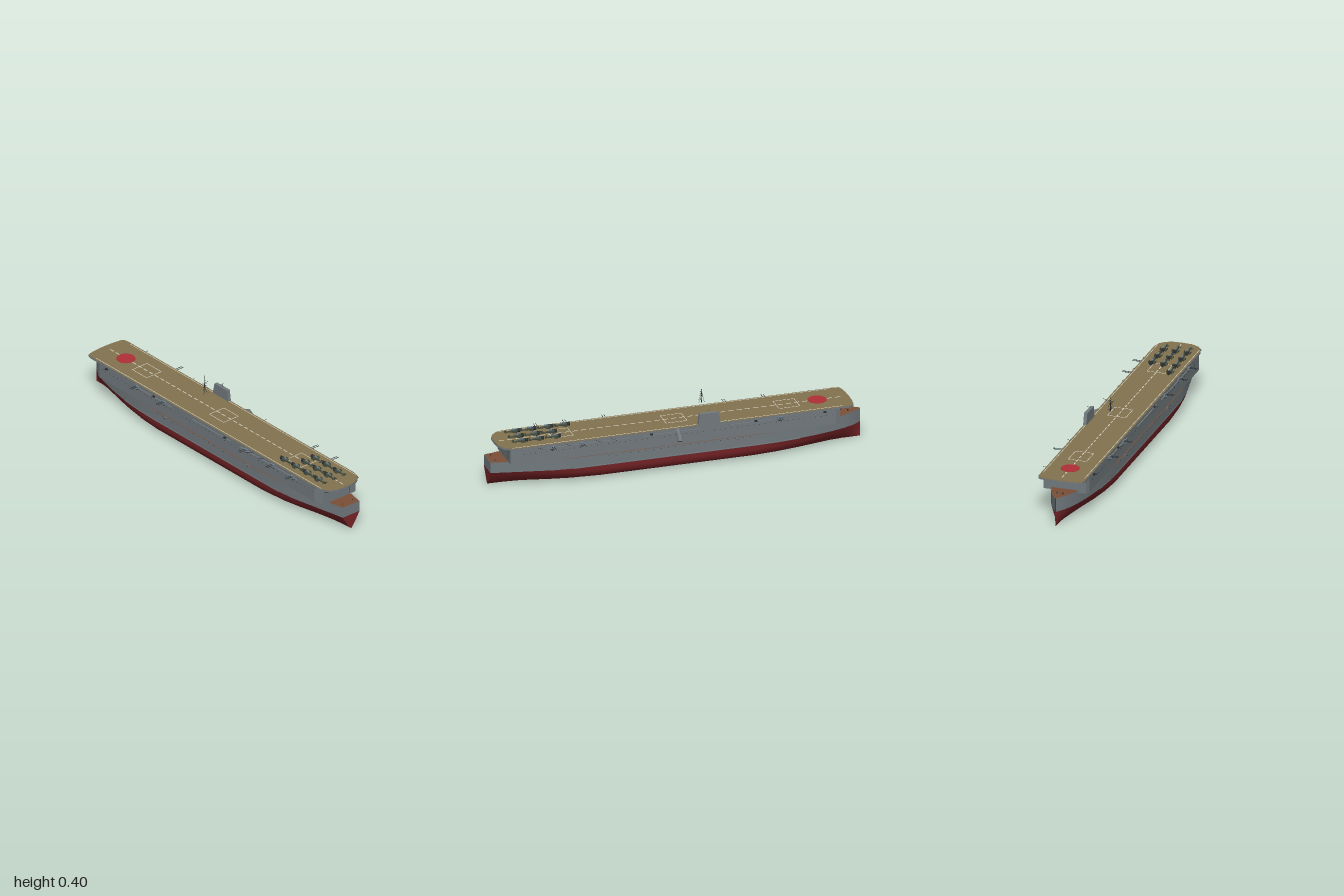
import * as THREE from 'three';
import { mergeGeometries, toCreasedNormals } from 'three/addons/utils/BufferGeometryUtils.js';

const paint = (name, color, side = THREE.FrontSide) => {
  const m = new THREE.MeshStandardMaterial({ color, side });
  m.name = name;
  return m;
};
const grey = paint('hull grey', 0x727a7e, THREE.DoubleSide);
const red = paint('bottom red', 0x7a2528, THREE.DoubleSide);
const tan = paint('flight deck tan', 0x83734f);
const brown = paint('weather deck brown', 0x7c5038, THREE.DoubleSide);
const dark = paint('dark metal', 0x2c3032);
const green = paint('aircraft green', 0x434d40);
const white = paint('marking white', 0xd9d6c8);
const crimson = paint('disc red', 0xb03036);
const steel = paint('gun blue grey', 0x718190);

// z, half beam, roundness of the section (0 = V, 1 = full bilge)
const stations = [
  [1, 0.056, 0], [0.95, 0.065, 0.08], [0.88, 0.08, 0.22], [0.78, 0.1, 0.45], [0.68, 0.12, 0.65], [0.58, 0.129, 0.82],
  [0.42, 0.13, 1], [0, 0.13, 1], [-0.4, 0.13, 1], [-0.52, 0.126, 0.9], [-0.64, 0.115, 0.72], [-0.74, 0.099, 0.52],
  [-0.83, 0.079, 0.33], [-0.9, 0.058, 0.18], [-0.95, 0.036, 0.06], [-0.98, 0.016, 0], [-1, 0.002, 0],
];
const vee = [[0, 0.002], [0.1, 0.006], [0.25, 0.016], [0.42, 0.03], [0.62, 0.047], [0.82, 0.065], [1, 0.083]];
const full = [[0, 0.002], [0.35, 0.005], [0.68, 0.01], [0.84, 0.021], [0.94, 0.037], [0.99, 0.057], [1, 0.083]];
const WATER = 0.083;
const sheer = z => 0.141 + 0.016 * THREE.MathUtils.smoothstep(-z, 0.58, 0.98);

// Surface through rows of points
function skin(rows, crease = 0.45) {
  const n = rows[0].length, index = [];
  for (let i = 0; i < rows.length - 1; i++)
    for (let j = 0; j < n - 1; j++) {
      const a = i * n + j, b = a + n;
      index.push(a, b, a + 1, b, b + 1, a + 1);
    }
  const g = new THREE.BufferGeometry();
  g.setAttribute('position', new THREE.Float32BufferAttribute(rows.flat(2), 3));
  g.setIndex(index);
  g.computeVertexNormals();
  return toCreasedNormals(g, crease);
}

function place(parent, name, geometry, material, x = 0, y = 0, z = 0) {
  const m = new THREE.Mesh(geometry, material);
  m.name = name;
  m.position.set(x, y, z);
  parent.add(m);
  return m;
}
const box = (w, h, d, x = 0, y = 0, z = 0) => new THREE.BoxGeometry(w, h, d).translate(x, y, z);

// Round bar between two points
function rod(a, b, r0, r1 = r0, sides = 6) {
  const p = new THREE.Vector3(...a), q = new THREE.Vector3(...b), d = q.clone().sub(p);
  const g = new THREE.CylinderGeometry(r1, r0, d.length(), sides);
  g.applyQuaternion(new THREE.Quaternion().setFromUnitVectors(new THREE.Vector3(0, 1, 0), d.normalize()));
  return g.translate(...p.add(q).multiplyScalar(0.5).toArray());
}

// Level plate from a plan outline of [x, z] points for x >= 0, mirrored
function slab(half, y, h) {
  const pts = [...half, ...half.slice().reverse().map(([x, z]) => [-x, z])];
  const s = new THREE.Shape(pts.map(([x, z]) => new THREE.Vector2(x, -z)));
  return new THREE.ExtrudeGeometry(s, { depth: h, bevelEnabled: false }).rotateX(-Math.PI / 2).translate(0, y, 0);
}

function buildHull(ship) {
  const section = ([z, w, f]) => {
    const half = vee.map((v, i) => [w * THREE.MathUtils.lerp(v[0], full[i][0], f), THREE.MathUtils.lerp(v[1], full[i][1], f), z]);
    return [...half.slice(1).reverse().map(([x, y]) => [-x, y, z]), ...half];
  };
  const flat = ring => ring.map(([, y, z]) => [0, y, z]);
  const stern = section(stations[0]);
  place(ship, 'underwaterHull', skin(stations.map(section), 0.7), red);
  place(ship, 'underwaterTransom', skin([stern, flat(stern)]), red);
  for (const s of [1, -1]) {
    place(ship, 'hullSide', skin(stations.map(([z, w]) => [[s * w, WATER, z], [s * w, sheer(z), z]])), grey);
    place(ship, 'waterlineStrip', skin(stations.slice(5, 11).map(([z, w]) =>
      [[s * w, 0.08, z], [s * (w + 0.001), 0.081, z], [s * (w + 0.001), 0.085, z], [s * w, 0.086, z]])), grey);
  }
  place(ship, 'transom', box(0.112, 0.058, 0.002, 0, 0.112, 0.999), grey);
  place(ship, 'weatherDeck', skin(stations.map(([z, w]) => [[-w, sheer(z), z], [w, sheer(z), z]])), brown);
  // Bow and stern deck fittings
  for (const s of [1, -1]) {
    place(ship, 'bowBollard', new THREE.CylinderGeometry(0.004, 0.004, 0.008, 8), dark, s * 0.016, 0.159, -0.93);
    place(ship, 'sternBollard', new THREE.CylinderGeometry(0.003, 0.003, 0.006, 8), dark, s * 0.035, 0.143, 0.97);
  }
}

function buildHangar(ship) {
  place(ship, 'hangar', slab([[0, 0.91], [0.108, 0.91], [0.125, 0.86], [0.125, -0.83], [0.115, -0.855], [0, -0.855]], 0.141, 0.083), grey);
  const holes = [];
  for (const s of [1, -1]) {
    const hole = (x, y, z) => holes.push(new THREE.CylinderGeometry(0.002, 0.002, 0.002, 6).rotateZ(Math.PI / 2).translate(s * x, y, z));
    for (let z = -0.81; z < 0.86; z += 0.03) hole(0.125, 0.195, z);
    for (let z = -0.37; z < 0.42; z += 0.04) hole(0.13, 0.133, z);
    // Catwalks and overhang struts
    for (const [z, d] of [[-0.4, 0.28], [0.05, 0.3], [0.5, 0.45]])
      place(ship, 'catwalk', box(0.008, 0.006, d), grey, s * 0.127, 0.212, z);
    place(ship, 'sternStrut', rod([s * 0.075, 0.2, 0.91], [s * 0.115, 0.224, 0.925], 0.0015), dark);
    place(ship, 'bowStrut', rod([s * 0.075, 0.19, -0.855], [s * 0.09, 0.224, -0.91], 0.002), dark);
  }
  for (let y = 0.155; y < 0.22; y += 0.01) holes.push(box(0.004, 0.003, 0.002, 0.066, y, 0.91));
  place(ship, 'portholes', mergeGeometries(holes), dark);
}

function buildFlightDeck(ship) {
  const plan = [[0, 0.965], [0.055, 0.962], [0.09, 0.945], [0.113, 0.92], [0.125, 0.88], [0.125, -0.9], [0.119, -0.924], [0.105, -0.932], [0.055, -0.939], [0, -0.941]];
  place(ship, 'flightDeckEdge', slab(plan, 0.222, 0.008), grey);
  place(ship, 'flightDeck', slab(plan.map(([x, z]) => [x * 0.985, z * 0.998]), 0.229, 0.003), tan);
  const lines = [], line = (x, z, w, d) => lines.push(box(w, 0.001, d, x, 0.2323, z));
  for (let z = -0.88; z < 0.93; z += 0.044) line(0, z, 0.005, 0.028);
  for (const s of [1, -1]) line(s * 0.113, 0.015, 0.003, 1.77);
  // Lift outlines
  for (const z of [-0.605, 0, 0.61]) {
    for (const s of [1, -1]) {
      line(s * 0.049, z, 0.003, 0.113);
      line(0, z + s * 0.056, 0.1, 0.003);
    }
  }
  place(ship, 'deckLines', mergeGeometries(lines), white);
  place(ship, 'deckDisc', new THREE.CylinderGeometry(0.049, 0.049, 0.002, 40), crimson, 0, 0.2325, -0.77);
}

function buildIsland(ship) {
  const s = new THREE.Shape([[0.092, 0.23], [0.1, 0.292], [0.2, 0.292], [0.214, 0.23]].map(p => new THREE.Vector2(...p)));
  const body = new THREE.ExtrudeGeometry(s, { depth: 0.018, bevelEnabled: false }).rotateY(Math.PI / 2);
  place(ship, 'island', body, grey, 0.108, 0, 0);
  place(ship, 'islandAerial', mergeGeometries([box(0.02, 0.001, 0.001, 0.117, 0.307, -0.15), rod([0.117, 0.29, -0.15], [0.117, 0.307, -0.15], 0.0004)]), dark);
  // Downturned funnel
  place(ship, 'funnelElbow', rod([0.118, 0.219, 0.017], [0.15, 0.204, 0.017], 0.013, 0.013, 16), grey);
  place(ship, 'funnel', rod([0.147, 0.209, 0.017], [0.167, 0.175, 0.017], 0.0145, 0.0145, 16), grey);
  place(ship, 'funnelMouth', rod([0.1668, 0.1754, 0.017], [0.1674, 0.1744, 0.017], 0.0125, 0.0125, 16), dark);
  // Radio mast
  const z = -0.15, parts = [
    rod([0, 0.3, z], [0, 0.34, z], 0.002, 0.0015), rod([0, 0.34, z], [0, 0.38, z], 0.0014, 0.0008), rod([0, 0.38, z], [0, 0.4, z], 0.0005),
    box(0.048, 0.001, 0.001, 0, 0.357, z), box(0.022, 0.001, 0.001, 0, 0.35, z), box(0.012, 0.002, 0.006, 0, 0.34, z),
  ];
  for (const k of [1, -1]) parts.push(rod([0, 0.38, z], [k * 0.017, 0.3, z + 0.012], 0.0004), rod([0, 0.357, z], [0, 0.3, z + k * 0.015], 0.0007));
  place(ship, 'mast', mergeGeometries(parts), dark);
}

function buildGuns(ship) {
  const twin = (s, z) => {
    const g = new THREE.Group();
    g.name = 'twinGun';
    place(g, 'sponson', new THREE.CylinderGeometry(0.016, 0.009, 0.01, 12), grey, 0.122, 0.205, 0);
    place(g, 'gunShield', box(0.018, 0.013, 0.026), steel, 0.124, 0.217, 0);
    for (const k of [1, -1]) place(g, 'barrel', rod([0.13, 0.221, k * 0.006], [0.176, 0.222, k * 0.006], 0.0014), dark);
    g.position.z = z;
    g.scale.x = s;
    ship.add(g);
  };
  for (const z of [-0.53, 0.535, 0.69]) [1, -1].forEach(s => twin(s, z));
  [-0.32, 0.325].forEach(z => twin(-1, z));
  for (const s of [1, -1]) {
    for (const z of [-0.77, -0.4, 0.16]) {
      place(ship, 'lightGunMount', box(0.014, 0.008, 0.014), dark, s * 0.126, 0.217, z);
      place(ship, 'lightGunBarrel', rod([s * 0.13, 0.219, z], [s * 0.148, 0.224, z], 0.001), dark);
    }
    for (const z of [-0.3, 0.35]) {
      place(ship, 'sideMount', box(0.01, 0.01, 0.016), grey, s * 0.13, 0.134, z);
      place(ship, 'sideBarrel', rod([s * 0.13, 0.137, z], [s * 0.148, 0.135, z], 0.001), dark);
    }
    // Hinged aerials at the deck edge
    for (const z of [0.38, 0.46, 0.62, 0.77])
      place(ship, 'aerial', rod([s * 0.124, 0.222, z], [s * 0.142, 0.215, z - 0.03], 0.0007), dark);
  }
}

// Parked aircraft with folded wings, nose towards the bow
function aircraft(x, z) {
  const g = new THREE.Group();
  g.name = 'aircraft';
  place(g, 'fuselage', rod([0, 0.244, -0.026], [0, 0.24, 0.043], 0.0085, 0.002, 10), green);
  place(g, 'cowling', rod([0, 0.244, -0.04], [0, 0.244, -0.025], 0.0095, 0.0095, 12), dark);
  place(g, 'wing', box(0.036, 0.003, 0.022, 0, 0.24, -0.012), green);
  place(g, 'canopy', box(0.006, 0.005, 0.022, 0, 0.252, -0.004), steel);
  place(g, 'tailplane', box(0.026, 0.002, 0.009, 0, 0.242, 0.037), green);
  place(g, 'fin', box(0.002, 0.011, 0.009, 0, 0.246, 0.038), green);
  place(g, 'propeller', box(0.002, 0.02, 0.001, 0, 0.244, -0.042), dark);
  for (const s of [1, -1]) {
    place(g, 'foldedWing', box(0.002, 0.007, 0.02, s * 0.018, 0.244, -0.012), green);
    place(g, 'wheelLeg', box(0.003, 0.009, 0.005, s * 0.01, 0.2365, -0.018), dark);
  }
  g.position.set(x, 0, z);
  return g;
}

export function createModel() {
  const ship = new THREE.Group();
  ship.name = 'aircraftCarrier';
  buildHull(ship);
  buildHangar(ship);
  buildFlightDeck(ship);
  buildIsland(ship);
  buildGuns(ship);
  for (const x of [-0.073, -0.008, 0.056])
    for (const z of [0.665, 0.755, 0.842]) ship.add(aircraft(x, z));
  ship.add(aircraft(-0.073, 0.575));
  return ship;
}
